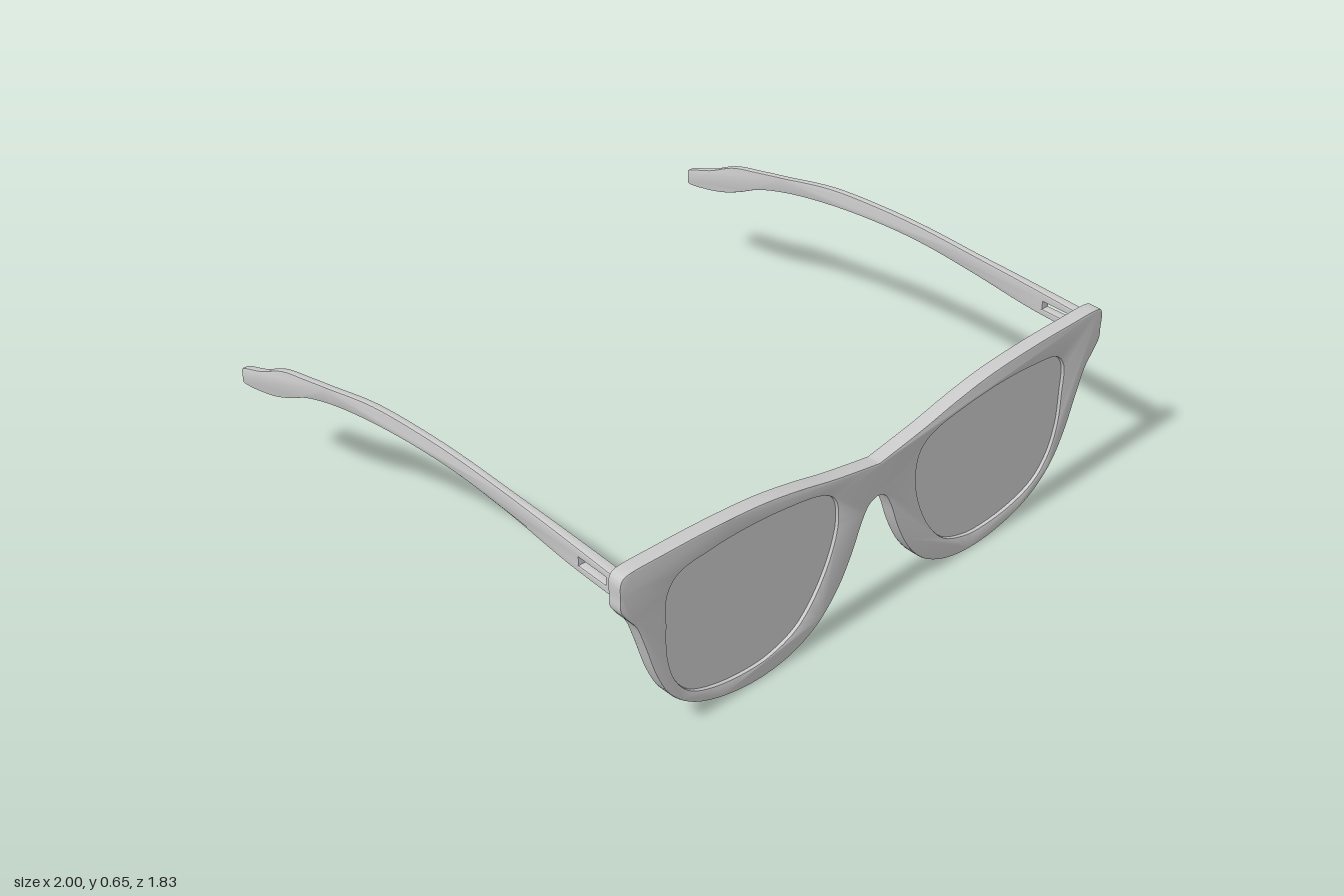
import * as THREE from 'three';
import { toCreasedNormals } from 'three/addons/utils/BufferGeometryUtils.js';

const material = new THREE.MeshStandardMaterial({ color: 0xcccccc });

// Smooth curve through [a, b] pairs, returned as 2D points.
function smooth(pairs, closed = false) {
  const curve = new THREE.CatmullRomCurve3(pairs.map(([a, b]) => new THREE.Vector3(a, b, 0)), closed);
  const pts = curve.getPoints(pairs.length * 5).map((p) => new THREE.Vector2(p.x, p.y));
  if (closed) pts.pop();
  return pts;
}

const mirrored = (pts) => pts.map((p) => new THREE.Vector2(-p.x, p.y)).reverse();

// Extrusion with softened rims that keeps the outline size.
function slab(shape, depth, bevel) {
  return new THREE.ExtrudeGeometry(shape, {
    depth: depth - 2 * bevel,
    bevelEnabled: bevel > 0,
    bevelThickness: bevel,
    bevelSize: bevel,
    bevelOffset: -bevel,
    bevelSegments: 2,
  }).translate(0, 0, bevel);
}

function addMesh(group, name, geometry) {
  const mesh = new THREE.Mesh(toCreasedNormals(geometry, 0.5), material);
  mesh.name = name;
  group.add(mesh);
}

// Half of the frame outline, from bridge top round to bridge underside.
const FRAME_HALF = [
  [0, 0.543], [0.08, 0.557], [0.2, 0.58], [0.31, 0.606], [0.47, 0.635], [0.68, 0.651],
  [0.85, 0.655], [0.965, 0.655], [0.99, 0.648], [1, 0.63], [1, 0.58], [0.999, 0.54],
  [0.975, 0.5], [0.945, 0.46], [0.915, 0.38], [0.87, 0.245], [0.82, 0.15], [0.74, 0.075],
  [0.63, 0.027], [0.48, 0.003], [0.34, 0.02], [0.23, 0.075], [0.15, 0.165], [0.096, 0.27],
  [0.06, 0.365], [0.032, 0.412], [0, 0.426],
];

const LENS = [
  [0.83, 0.51], [0.79, 0.56], [0.68, 0.578], [0.55, 0.583], [0.39, 0.572], [0.23, 0.54],
  [0.18, 0.5], [0.165, 0.417], [0.187, 0.31], [0.246, 0.19], [0.32, 0.107], [0.417, 0.068],
  [0.49, 0.06], [0.63, 0.075], [0.74, 0.118], [0.8, 0.19], [0.83, 0.29], [0.834, 0.406],
];

// Temple side profile as [z, y].
const TEMPLE_TOP = [
  [0.865, 0.626], [0.616, 0.638], [0.42, 0.645], [0.2, 0.652], [0, 0.647], [-0.215, 0.628],
  [-0.435, 0.58], [-0.557, 0.553], [-0.68, 0.523], [-0.8, 0.465], [-0.905, 0.426], [-0.914, 0.418],
];
const TEMPLE_BOTTOM = [
  [-0.914, 0.372], [-0.905, 0.368], [-0.753, 0.397], [-0.655, 0.435], [-0.557, 0.484], [-0.41, 0.53],
  [-0.215, 0.567], [0, 0.59], [0.2, 0.596], [0.42, 0.582], [0.665, 0.558], [0.865, 0.552],
];

function templeGeometry(side) {
  const shape = new THREE.Shape([...smooth(TEMPLE_TOP), ...smooth(TEMPLE_BOTTOM)]);
  // Slot through the temple beside the hinge
  shape.holes.push(new THREE.Path([[0.718, 0.577], [0.83, 0.577], [0.83, 0.605], [0.718, 0.605]]
    .map(([z, y]) => new THREE.Vector2(z, y))));
  const geo = slab(shape, 0.024, 0.004).translate(0, 0, -0.012).rotateY(-Math.PI / 2);
  // Thicken towards the hinge
  const pos = geo.attributes.position;
  for (let i = 0; i < pos.count; i++) {
    const t = THREE.MathUtils.clamp((pos.getZ(i) - 0.42) / 0.44, 0, 1);
    pos.setX(i, pos.getX(i) * (1 + 0.5 * t) + side * (0.961 + 0.004 * t));
  }
  return geo;
}

export function createModel() {
  const model = new THREE.Group();
  model.name = 'glasses';

  // Front frame with two lens openings
  const half = smooth(FRAME_HALF);
  const frame = new THREE.Shape([...half, ...mirrored(half).slice(1, -1)]);
  const leftLens = smooth(LENS, true);
  const lenses = { left: leftLens, right: mirrored(leftLens) };
  for (const pts of Object.values(lenses)) frame.holes.push(new THREE.Path(pts));
  addMesh(model, 'frontFrame', slab(frame, 0.05, 0.005).translate(0, 0, 0.862));

  // Lenses and temples on both sides
  for (const [name, side] of [['left', 1], ['right', -1]]) {
    addMesh(model, name + 'Lens', slab(new THREE.Shape(lenses[name]), 0.012, 0).translate(0, 0, 0.888));
    addMesh(model, name + 'Temple', templeGeometry(side));
  }
  return model;
}
